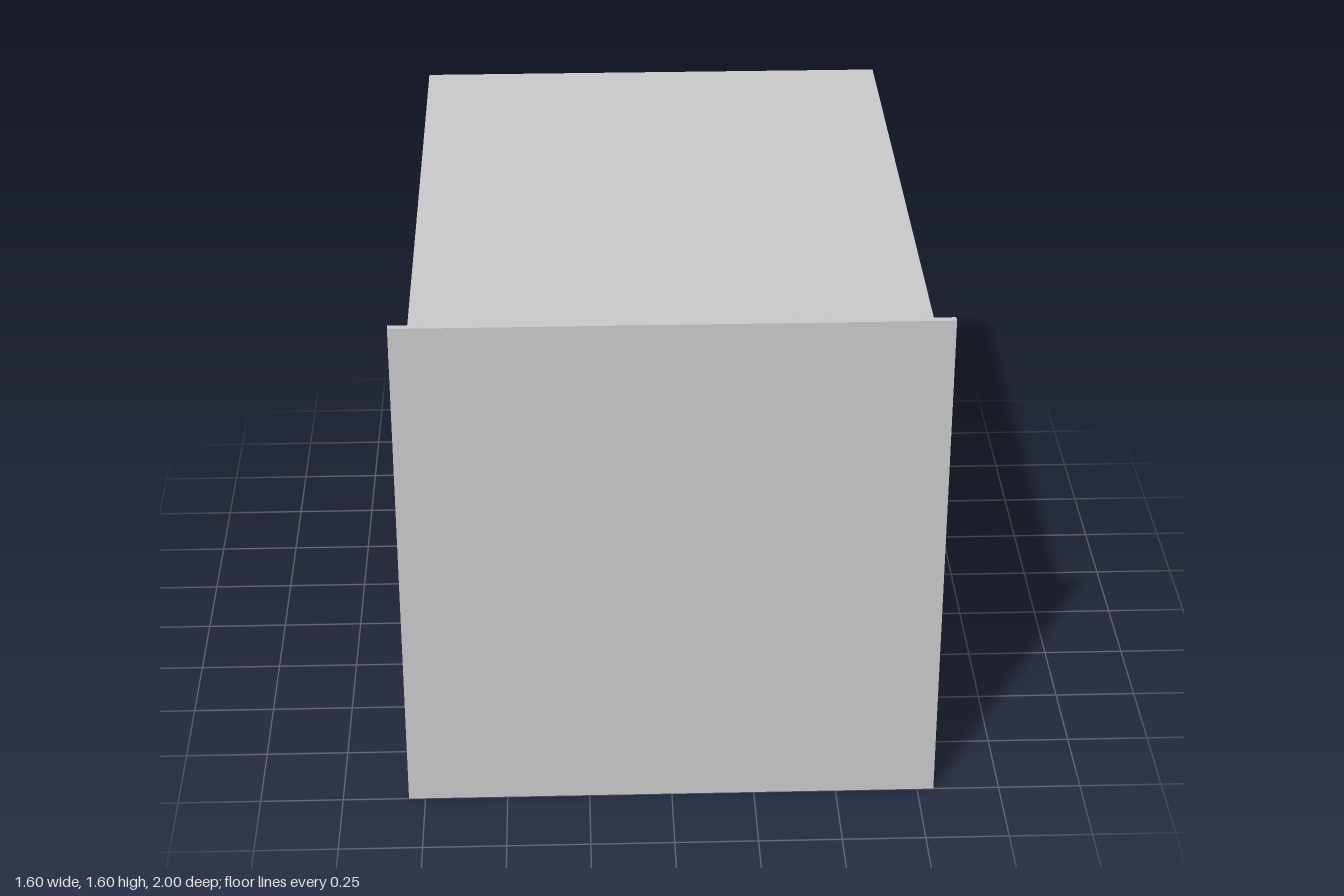
import * as THREE from 'three';
import { toCreasedNormals } from 'three/addons/utils/BufferGeometryUtils.js';

const MID = 0.8;      // height of the box centre
const HALF = 0.75;    // half width of the body
const LIP = 0.8;      // half width of the front flange
const COVE = 0.05;    // radius of the cove behind the flange
const COVE_Z = 0.928; // where the cove leaves the body
const PITCH = 0.09;   // spacing of the flange ribs

export function createModel() {
  const model = new THREE.Group();
  const material = new THREE.MeshStandardMaterial({ color: 0xcccccc });
  const add = (name, geometry, parent = model) => {
    const mesh = new THREE.Mesh(geometry, material);
    mesh.name = name;
    parent.add(mesh);
    return mesh;
  };

  // Main body, above the pocketed floor
  const back = -1, front = 0.95, floor = 0.05;
  const length = front - back;
  const bodyHeight = 2 * HALF - floor;
  add('body', new THREE.BoxGeometry(2 * HALF, bodyHeight, length))
    .position.set(0, 2 * floor + bodyHeight / 2, (front + back) / 2);

  // Floor layer with a small rectangular pocket near the back (shape y is -z)
  const plan = new THREE.Shape([
    new THREE.Vector2(-HALF, -front), new THREE.Vector2(HALF, -front),
    new THREE.Vector2(HALF, -back), new THREE.Vector2(-HALF, -back),
  ]);
  const px = 0.045, pz = 0.065, pocketZ = -0.91;
  plan.holes.push(new THREE.Path([
    new THREE.Vector2(-px, -pocketZ - pz), new THREE.Vector2(-px, -pocketZ + pz),
    new THREE.Vector2(px, -pocketZ + pz), new THREE.Vector2(px, -pocketZ - pz),
  ]));
  const floorGeometry = new THREE.ExtrudeGeometry(plan, { depth: floor, bevelEnabled: false });
  floorGeometry.rotateX(-Math.PI / 2);
  add('floorWithPocket', floorGeometry).position.y = floor;

  // Front panel: a cove and flat plate swept round a square
  const profile = [];
  for (let i = 0; i <= 10; i++) {
    const a = (i / 10) * Math.PI / 2;
    profile.push([LIP - COVE * Math.cos(a), COVE_Z + COVE * Math.sin(a)]);
  }
  profile.push([LIP, 1], [0, 1]);
  const panel = new THREE.LatheGeometry(
    profile.map(([r, z]) => new THREE.Vector2(r * Math.SQRT2, z)), 4, Math.PI / 4);
  panel.rotateX(Math.PI / 2);
  add('frontPanel', toCreasedNormals(panel, 0.5)).position.y = MID;

  // Small curved rib lying in the cove
  const start = Math.PI * 0.86;
  const rib = new THREE.Shape();
  rib.moveTo(LIP, COVE_Z + COVE - 0.011);
  rib.lineTo(LIP, COVE_Z + COVE + 0.003);
  rib.absarc(LIP, COVE_Z, COVE + 0.003, Math.PI / 2, start, false);
  rib.quadraticCurveTo(LIP - 0.033, COVE_Z + COVE - 0.013, LIP, COVE_Z + COVE - 0.011);
  const ribWidth = 0.03;
  const ribGeometry = new THREE.ExtrudeGeometry(rib,
    { depth: ribWidth, bevelEnabled: false, curveSegments: 6 });
  ribGeometry.translate(0, 0, -ribWidth / 2);
  ribGeometry.rotateX(Math.PI / 2);
  const ribSmooth = toCreasedNormals(ribGeometry, 0.5);

  // The same row of ribs on all four sides
  for (let side = 0; side < 4; side++) {
    const row = new THREE.Group();
    row.name = 'flangeRibs';
    row.position.y = MID;
    row.rotation.z = side * Math.PI / 2;
    for (let i = -8; i <= 8; i++) add('rib', ribSmooth, row).position.y = i * PITCH;
    model.add(row);
  }
  return model;
}
